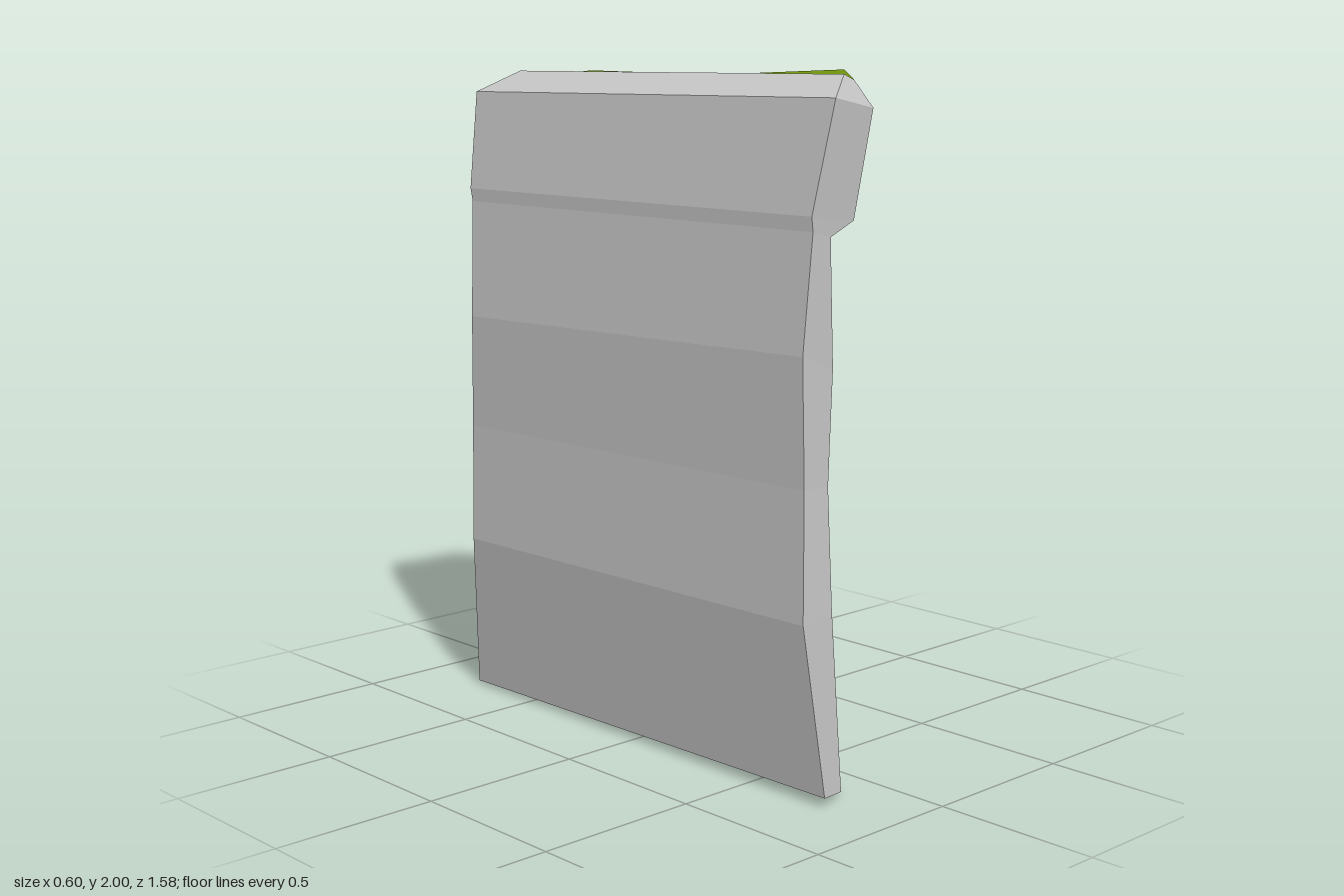
import * as THREE from 'three';

// Each section runs from the back edge at +z, around the rough +x face, to the back edge at -z.
const section = (x, y, z) => x.map((v, i) => [v, y[i], z[i]]);
// z of the columns down the face, with the two outer columns at each end given per section
const columns = (a, b, c, d) => [a, b, 0.58, 0.47, 0.27, 0, -0.23, -0.4, -0.62, c, d];

const foot = section(
  [-0.25, -0.14, -0.05, 0.04, 0.09, 0.12, 0.13, 0.12, 0.08, 0.03, -0.24],
  [0.03, 0.01, 0.02, 0, 0.01, 0.01, 0.01, 0, 0.01, 0.01, 0.01],
  columns(0.79, 0.75, -0.77, -0.765));
const low = section(
  [-0.3, -0.17, -0.08, 0.01, 0.04, 0.055, 0.055, 0.05, 0.03, 0, -0.28],
  [0.52, 0.53, 0.54, 0.52, 0.53, 0.5, 0.495, 0.52, 0.51, 0.49, 0.5],
  columns(0.75, 0.735, -0.735, -0.73));
const middle = section(
  [-0.285, -0.17, -0.08, 0, 0.05, 0.1, 0.1, 0.09, 0.07, 0.01, -0.27],
  [0.89, 0.88, 0.86, 0.84, 0.835, 0.87, 0.86, 0.86, 0.88, 0.85, 0.87],
  columns(0.735, 0.715, -0.715, -0.735));
const high = section(
  [-0.285, -0.145, -0.06, 0.03, 0.06, 0.08, 0.09, 0.09, 0.07, 0.03, -0.27],
  [1.25, 1.2, 1.22, 1.23, 1.2, 1.2, 1.18, 1.19, 1.22, 1.2, 1.22],
  columns(0.725, 0.705, -0.705, -0.73));
const neck = section(
  [-0.25, -0.165, -0.08, 0.01, 0.07, 0.1, 0.105, 0.1, 0.08, 0.01, -0.24],
  [1.58, 1.56, 1.57, 1.55, 1.56, 1.56, 1.555, 1.57, 1.545, 1.56, 1.58],
  columns(0.725, 0.71, -0.715, -0.755));
const lip = section(
  [-0.25, -0.08, 0.02, 0.09, 0.15, 0.19, 0.18, 0.16, 0.15, 0.11, -0.24],
  [1.62, 1.6, 1.63, 1.61, 1.61, 1.615, 1.61, 1.63, 1.605, 1.64, 1.62],
  [0.72, 0.715, 0.57, 0.47, 0.27, 0.02, -0.22, -0.4, -0.62, -0.745, -0.765]);
const rim = section(
  [-0.2, -0.03, 0.055, 0.13, 0.21, 0.295, 0.235, 0.18, 0.18, 0.125, -0.19],
  [1.93, 1.9, 1.935, 1.925, 1.905, 1.9, 1.9, 1.905, 1.925, 1.9, 1.92],
  [0.755, 0.735, 0.6, 0.4, 0.26, 0.04, -0.22, -0.43, -0.64, -0.775, -0.79]);
const crown = section(
  [-0.12, -0.07, 0, 0.07, 0.15, 0.23, 0.17, 0.11, 0.105, 0.08, -0.11],
  [1.99, 1.975, 2, 1.98, 1.97, 1.965, 1.97, 1.975, 1.985, 1.975, 1.985],
  [0.71, 0.7, 0.6, 0.41, 0.27, 0.07, -0.15, -0.38, -0.58, -0.67, -0.67]);

// Builds a mesh from triangles and quads, each face with one normal of its own
function makeMesh(name, faces, color) {
  const positions = [], normals = [];
  for (const face of faces) {
    const v = face.map((p) => new THREE.Vector3(...p));
    const last = v[v.length - 1];
    const normal = v[2].clone().sub(v[0]).cross(last.clone().sub(v[1])).normalize();
    if (v.length === 3) normal.crossVectors(v[1].clone().sub(v[0]), v[2].clone().sub(v[0])).normalize();
    for (let i = 1; i < v.length - 1; i++) {
      for (const p of [v[0], v[i], v[i + 1]]) {
        positions.push(p.x, p.y, p.z);
        normals.push(normal.x, normal.y, normal.z);
      }
    }
  }
  const geometry = new THREE.BufferGeometry();
  geometry.setAttribute('position', new THREE.Float32BufferAttribute(positions, 3));
  geometry.setAttribute('normal', new THREE.Float32BufferAttribute(normals, 3));
  const mesh = new THREE.Mesh(geometry, new THREE.MeshStandardMaterial({ color }));
  mesh.name = name;
  return mesh;
}

// Walls between successive sections
function loft(sections) {
  return sections.slice(1).flatMap((upper, i) => sections[i].map((p, j, lower) => {
    const k = (j + 1) % lower.length;
    return [p, lower[k], upper[k], upper[j]];
  }));
}

// Lid over one section, fanned from its centre
function lid(ring, up) {
  const centre = [0, 1, 2].map((c) => ring.reduce((sum, p) => sum + p[c], 0) / ring.length);
  return ring.map((p, j) => {
    const q = ring[(j + 1) % ring.length];
    return up ? [centre, p, q] : [centre, q, p];
  });
}

export function createModel() {
  const group = new THREE.Group();
  group.name = 'cliffWall';
  group.add(
    makeMesh('rockFace', loft([foot, low, middle, high, neck]), 0xcccccc),
    makeMesh('overhang', loft([neck, lip, rim, crown]), 0xcccccc),
    makeMesh('underside', lid(foot, false), 0xcccccc),
    makeMesh('grassTop', lid(crown, true), 0x73980c));
  return group;
}
